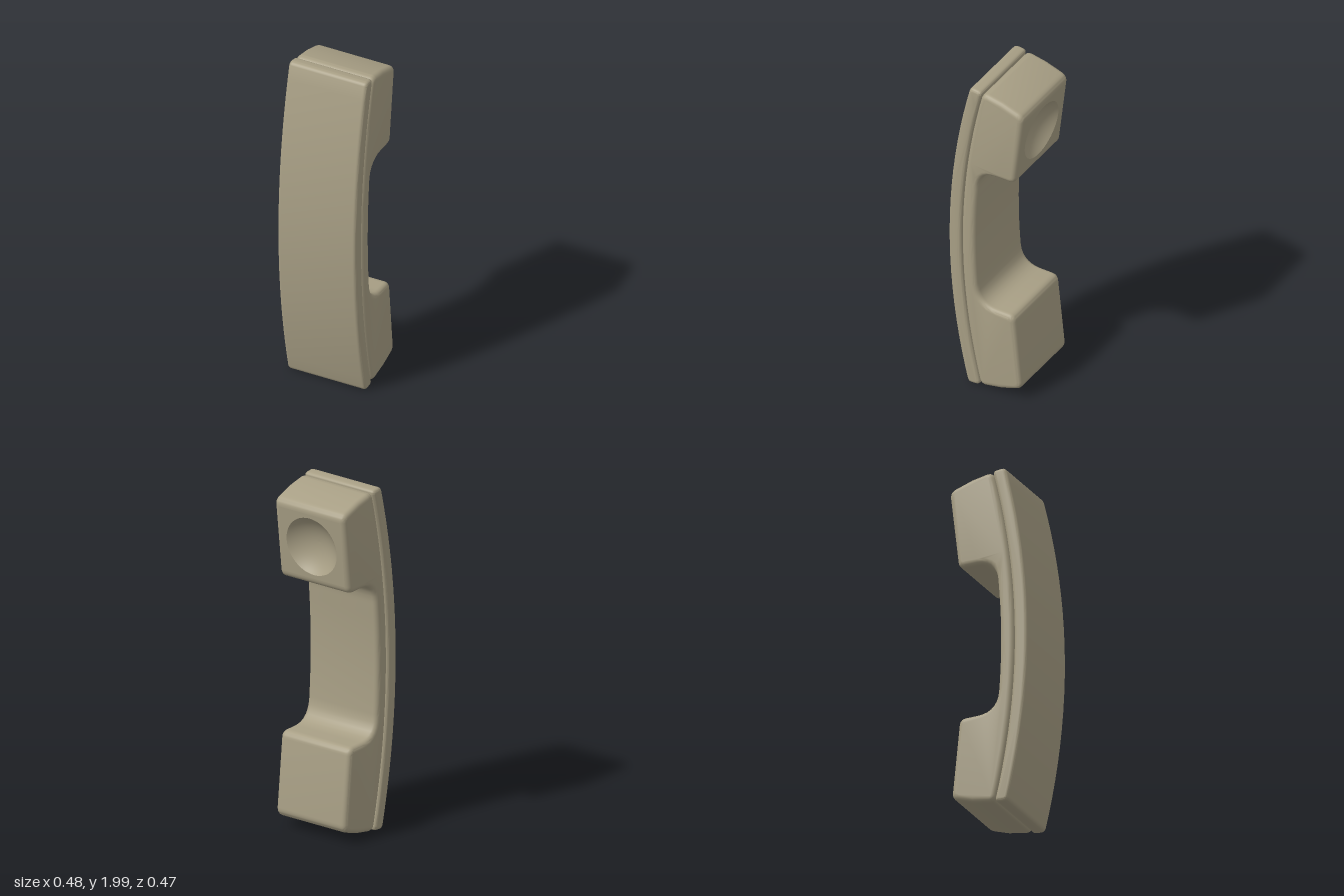
import * as THREE from 'three';
import { toCreasedNormals } from 'three/addons/utils/BufferGeometryUtils.js';

const WIDTH = 0.48;
const V = (z, y, r = 0) => ({ p: new THREE.Vector2(z, y), r });

// Front bow: a shallow parabola through zMid, sampled from y0 to y1
function bow(zMid, y0, y1, n, rEnd = 0) {
  return Array.from({ length: n + 1 }, (_, i) => {
    const y = y0 + (y1 - y0) * i / n;
    return V(zMid - 0.128 * (y - 1) ** 2 - 0.006 * (y - 1), y, i === 0 || i === n ? rEnd : 0);
  });
}

// Closed outline with each corner rounded by its own radius
function outline(corners) {
  const points = [];
  corners.forEach(({ p, r }, i) => {
    if (!r) { points.push(p); return; }
    const toward = (q) => q.clone().sub(p).setLength(r).add(p);
    const a = toward(corners.at(i - 1).p);
    const b = toward(corners[(i + 1) % corners.length].p);
    points.push(...new THREE.QuadraticBezierCurve(a, p, b).getPoints(7));
  });
  return new THREE.Shape(points);
}

// Side outline (z, y) extruded across the width with rounded edges
function extrudeAcross(corners, bevel) {
  const depth = WIDTH - 2 * bevel;
  const geometry = new THREE.ExtrudeGeometry(outline(corners), {
    depth, bevelEnabled: true, bevelThickness: bevel, bevelSize: bevel,
    bevelOffset: -bevel, bevelSegments: 5,
  });
  geometry.translate(0, 0, -depth / 2);
  geometry.rotateY(-Math.PI / 2);
  return geometry;
}

// Remove the flat triangles that lie on a plane
function cutFace(geometry, plane) {
  const pos = geometry.attributes.position;
  const kept = [];
  const v = new THREE.Vector3();
  for (let i = 0; i < pos.count; i += 3) {
    const tri = [];
    let onPlane = true;
    for (let k = 0; k < 3; k++) {
      v.fromBufferAttribute(pos, i + k);
      onPlane = onPlane && Math.abs(plane.distanceToPoint(v)) < 1e-4;
      tri.push(v.x, v.y, v.z);
    }
    if (!onPlane) kept.push(...tri);
  }
  const result = new THREE.BufferGeometry();
  result.setAttribute('position', new THREE.Float32BufferAttribute(kept, 3));
  return result;
}

export function createModel() {
  const model = new THREE.Group();
  model.name = 'telephoneHandset';
  const beige = new THREE.MeshStandardMaterial({ color: 0xa89f85 });
  beige.name = 'warm beige plastic';

  function add(parent, name, geometry) {
    const mesh = new THREE.Mesh(geometry, beige);
    mesh.name = name;
    parent.add(mesh);
    return mesh;
  }

  // Curved outer cover
  const cover = [
    ...bow(0.237, 0.0, 2.0, 20, 0.028),
    ...bow(0.157, 1.992, 0.008, 20, 0.028),
  ];
  add(model, 'outerCover', toCreasedNormals(extrudeAcross(cover, 0.02), 0.6));

  // Inner body: earpiece block, grip and mouthpiece block in one outline
  const round = 0.042, bevel = 0.03;
  const earTop = V(-0.238, 1.922, round);
  const earBottom = V(-0.183, 1.452, round);
  const body = [
    ...bow(0.157, 0.008, 1.992, 20, round),
    V(-0.1, 1.968), earTop, earBottom,
    V(0.047, 1.452, 0.115), ...bow(0.07, 1.32, 0.68, 10), V(0.047, 0.552, 0.115),
    V(-0.177, 0.552, round), V(-0.226, 0.078, round), V(-0.1, 0.035),
  ];
  const mid = new THREE.Vector3(0, (earTop.p.y + earBottom.p.y) / 2, (earTop.p.x + earBottom.p.x) / 2);
  const up = new THREE.Vector3(0, earTop.p.y - earBottom.p.y, earTop.p.x - earBottom.p.x);
  const faceLength = up.length() - 2 * round;
  up.normalize();
  const side = new THREE.Vector3(-1, 0, 0);
  const out = side.clone().cross(up);
  const plane = new THREE.Plane().setFromNormalAndCoplanarPoint(out, mid);
  add(model, 'innerBody', toCreasedNormals(cutFace(extrudeAcross(body, bevel), plane), 0.6));

  // Earpiece face with a round opening
  const ear = new THREE.Group();
  ear.name = 'earpiece';
  ear.position.copy(mid);
  ear.quaternion.setFromRotationMatrix(new THREE.Matrix4().makeBasis(side, up, out));
  model.add(ear);
  const w = WIDTH / 2 - bevel, h = faceLength / 2, radius = 0.172;
  const face = new THREE.Shape([[-w, -h], [w, -h], [w, h], [-w, h]].map(([x, y]) => new THREE.Vector2(x, y)));
  face.holes.push(new THREE.Path().absarc(0, 0, radius, 0, Math.PI * 2, true));
  add(ear, 'earpieceFace', new THREE.ShapeGeometry(face, 24));

  // Hollow spherical dish behind the opening
  const depth = 0.07;
  const sphere = (radius ** 2 + depth ** 2) / (2 * depth);
  const rimAngle = Math.asin(radius / sphere);
  const dish = Array.from({ length: 11 }, (_, i) => {
    const a = rimAngle * (1 - i / 10);
    return new THREE.Vector2(sphere * Math.sin(a), sphere - depth - sphere * Math.cos(a));
  });
  add(ear, 'earpieceDish', new THREE.LatheGeometry(dish, 48).rotateX(Math.PI / 2));

  return model;
}
